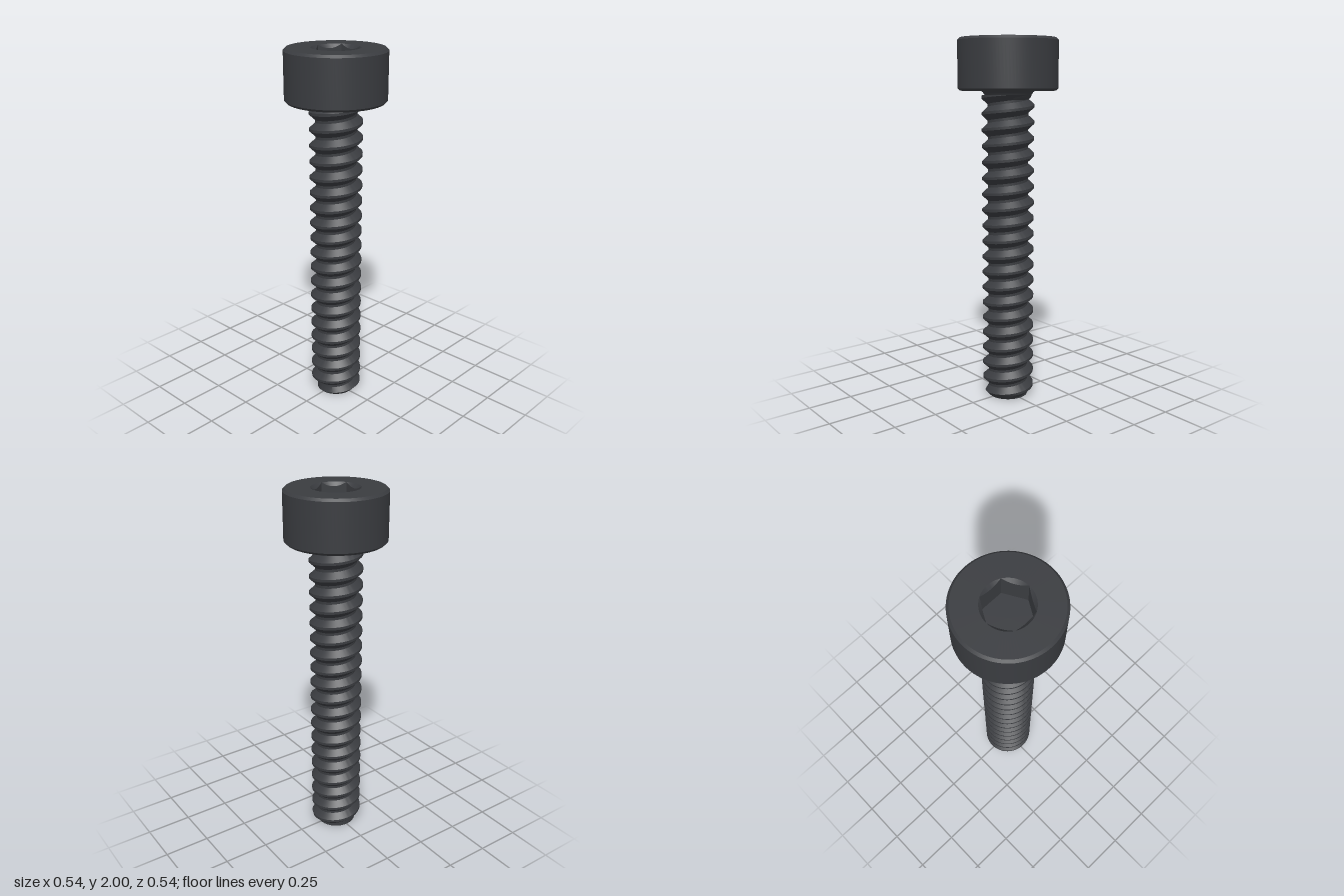
import * as THREE from 'three';
import { toCreasedNormals } from 'three/addons/utils/BufferGeometryUtils.js';

const material = new THREE.MeshStandardMaterial({ color: 0x3a3c40 });
const SEG = 96;
const V = (r, y) => new THREE.Vector2(r, y);

// Closed-round skin: point(t, j) gives [radius, y] at angle t (from +z towards +x) on level j
function skin(levels, point) {
  const pos = [], index = [];
  for (let j = 0; j < levels; j++) {
    for (let i = 0; i <= SEG; i++) {
      const t = (i / SEG) * Math.PI * 2;
      const [r, y] = point(t, j);
      pos.push(r * Math.sin(t), y, r * Math.cos(t));
    }
  }
  for (let j = 0; j < levels - 1; j++) {
    for (let i = 0; i < SEG; i++) {
      const a = j * (SEG + 1) + i, c = a + SEG + 1;
      index.push(a, a + 1, c, a + 1, c + 1, c);
    }
  }
  const g = new THREE.BufferGeometry();
  g.setAttribute('position', new THREE.Float32BufferAttribute(pos, 3));
  g.setIndex(index);
  return g;
}

function part(name, geometry, crease = 0.45) {
  const mesh = new THREE.Mesh(toCreasedNormals(geometry, crease), material);
  mesh.name = name;
  return mesh;
}

export function createModel() {
  const group = new THREE.Group();
  group.name = 'socketHeadScrew';

  // Head: chamfered cylinder, open in the middle of the top for the socket
  const APOTHEM = 0.112, RIM = APOTHEM / Math.cos(Math.PI / 6);
  group.add(part('head', new THREE.LatheGeometry([
    V(0.1, 1.722), V(0.258, 1.722), V(0.271, 1.735),
    V(0.271, 1.987), V(0.258, 2), V(RIM, 2),
  ], SEG)));

  // Socket: round countersunk rim running into hexagonal walls and a flat floor
  const hexRadius = (t) => {
    const sixth = Math.PI / 3;
    return APOTHEM / Math.cos(((t + sixth / 2) % sixth) - sixth / 2);
  };
  group.add(part('hexSocket', skin(4, (t, j) => {
    const r = hexRadius(t);
    return [[RIM, 2], [r, 2 - (RIM - r) * 1.2], [r, 1.86], [0, 1.86]][j];
  })));

  // Fillet between shank and head
  group.add(part('neckFillet', new THREE.LatheGeometry([
    V(0.105, 1.67), V(0.122, 1.685), V(0.128, 1.7), V(0.136, 1.713), V(0.147, 1.723),
  ], SEG), 0.8));

  // Shank: right-handed helical thread, trimmed at both ends
  const PITCH = 0.088, ROOT = 0.11, CREST = 0.143, TOP = 1.7, PHASE = 0.038;
  const steps = [0, 0.16, 0.5, 0.66]; // root, root, crest, crest within one pitch
  const radiusAt = (t, y) => {
    const f = (y - PHASE) / PITCH - t / (2 * Math.PI);
    const u = f - Math.floor(f);
    const k = u < 0.16 ? 0 : u < 0.5 ? (u - 0.16) / 0.34 : u < 0.66 ? 1 : (1 - u) / 0.34;
    return Math.min(ROOT + (CREST - ROOT) * k, ROOT + y * 0.9);
  };
  const turns = Math.ceil(TOP / PITCH) + 3;
  group.add(part('threadedShank', skin(turns * 4, (t, j) => {
    const turn = Math.floor(j / 4) - 2 + steps[j % 4] + t / (2 * Math.PI);
    const y = THREE.MathUtils.clamp(PHASE + turn * PITCH, 0, TOP);
    return [radiusAt(t, y), y];
  })));

  // Flat tip closing the shank
  const tip = new THREE.CircleGeometry(ROOT, SEG).rotateX(Math.PI / 2);
  group.add(part('tip', tip));

  return group;
}
